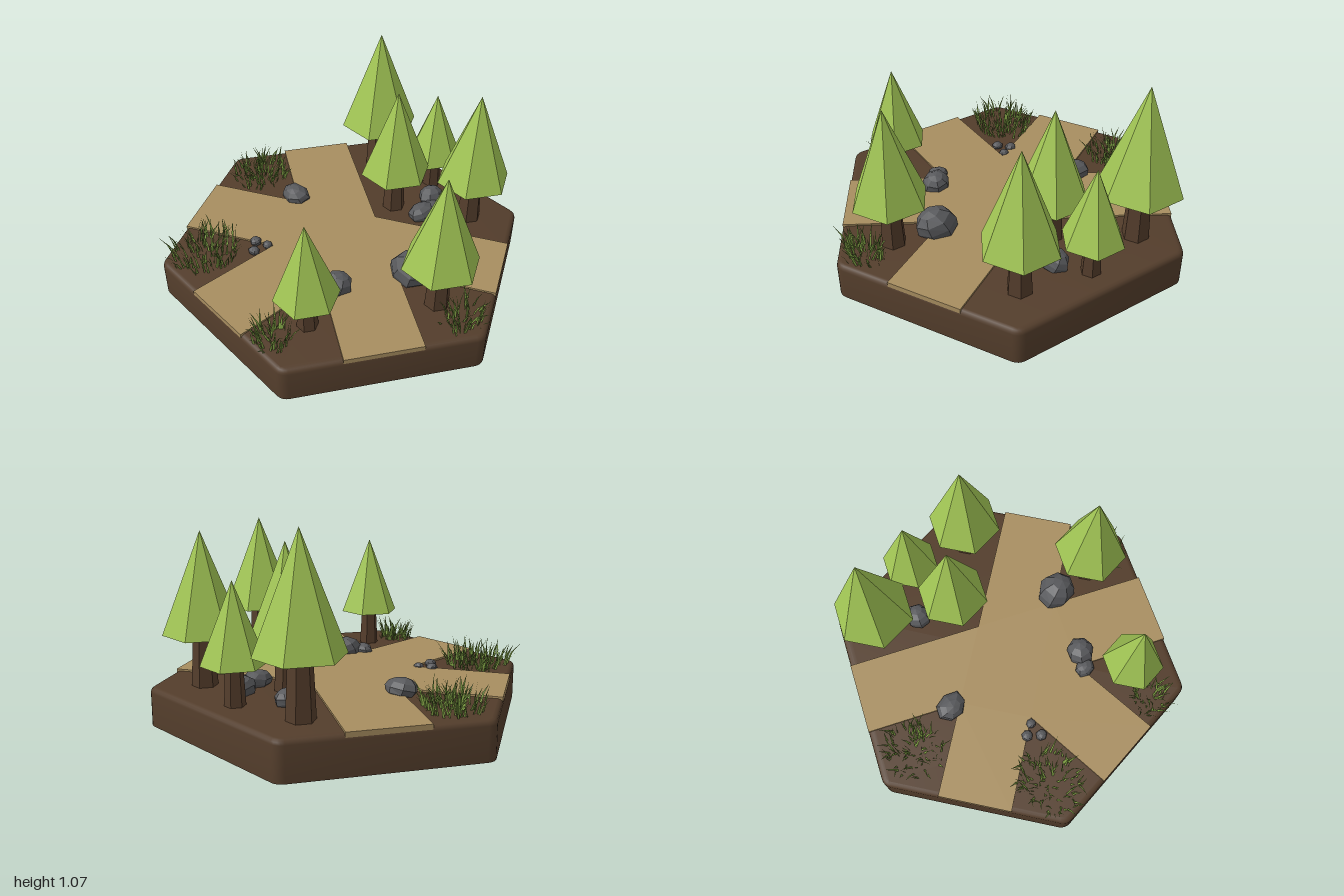
import * as THREE from 'three';
import { toCreasedNormals } from 'three/addons/utils/BufferGeometryUtils.js';

const mat = (name, color, opts = {}) => {
  const m = new THREE.MeshStandardMaterial({ color, ...opts });
  m.name = name;
  return m;
};
const soil = mat('soil', 0x533d2b);
const sand = mat('sand', 0xa88e60);
const bark = mat('bark', 0x553e2c, { flatShading: true });
const leaf = mat('leaf', 0xa2c655, { flatShading: true });
const stone = mat('stone', 0x58595c, { flatShading: true });
const grass = mat('grass', 0x7c9c42, { side: THREE.DoubleSide });

const CENTER_Z = -0.024;
const TOP = 0.2;

function seeded(seed) {
  return () => {
    seed = (seed * 16807) % 2147483647;
    return seed / 2147483647;
  };
}

function add(parent, name, geometry, material) {
  const mesh = new THREE.Mesh(geometry, material);
  mesh.name = name;
  parent.add(mesh);
  return mesh;
}

// Hexagonal tile: softened corners and top rim, sharp flat underside
function tileGeometry() {
  const bevel = 0.025, r = 1.005 - bevel / Math.cos(Math.PI / 6), soft = 0.025;
  const corner = i => new THREE.Vector2(Math.cos(i * Math.PI / 3), Math.sin(i * Math.PI / 3)).multiplyScalar(r);
  const shape = new THREE.Shape();
  for (let i = 0; i < 6; i++) {
    const c = corner(i);
    const a = c.clone().lerp(corner(i + 5), soft), b = c.clone().lerp(corner(i + 1), soft);
    if (i === 0) shape.moveTo(a.x, a.y); else shape.lineTo(a.x, a.y);
    shape.quadraticCurveTo(c.x, c.y, b.x, b.y);
  }
  shape.closePath();
  const geo = new THREE.ExtrudeGeometry(shape, {
    depth: TOP - bevel, bevelEnabled: true, bevelSize: bevel, bevelThickness: bevel, bevelSegments: 3, curveSegments: 4,
  });
  geo.rotateX(-Math.PI / 2);
  const p = geo.attributes.position;
  for (let i = 0; i < p.count; i++) p.setY(i, Math.max(0, p.getY(i)));
  return toCreasedNormals(geo, 0.7);
}

// Five path arms meeting in the middle, each ending at a tile edge
function pathGeometry() {
  const pts = [];
  const polar = (deg, r) => new THREE.Vector2(r, 0).rotateAround(new THREE.Vector2(), deg * Math.PI / 180);
  const arms = [-90, -30, 30, 150, 210];
  arms.forEach((deg, i) => {
    const end = polar(deg, 0.869), side = polar(deg + 90, 0.2);
    pts.push(end.clone().sub(side), end.clone().add(side));
    const gap = ((arms[(i + 1) % 5] - deg) + 360) % 360;
    pts.push(polar(deg + gap / 2, 0.2 / Math.sin(gap * Math.PI / 360)));
  });
  const geo = new THREE.ExtrudeGeometry(new THREE.Shape(pts), { depth: 0.026, bevelEnabled: false });
  return geo.rotateX(-Math.PI / 2).translate(0, 0.184, 0);
}

// Six-sided tree with a tapered trunk
function makeTree([x, z, base, top, r]) {
  const tree = new THREE.Group();
  tree.name = 'tree';
  tree.position.set(x, 0, z);
  const trunkH = base + 0.02 - TOP + 0.02;
  const trunk = add(tree, 'trunk', new THREE.CylinderGeometry(r * 0.26, r * 0.335, trunkH, 6), bark);
  trunk.position.y = TOP - 0.02 + trunkH / 2;
  const crown = add(tree, 'crown', new THREE.ConeGeometry(r, top - base, 6), leaf);
  crown.position.y = (base + top) / 2;
  trunk.rotation.y = crown.rotation.y = Math.PI / 6;
  return tree;
}

// Faceted boulder, half sunk in the ground; h is its height above the tile
function makeRock([x, z, rx, rz, h], i) {
  const geo = new THREE.SphereGeometry(1, 7, 6);
  const p = geo.attributes.position;
  for (let k = 0; k < p.count; k++) {
    const a = p.getX(k), b = p.getY(k), c = p.getZ(k);
    const s = 1 + 0.08 * Math.sin(3 * a + 2 * c + i) * Math.cos(2 * b + c);
    p.setXYZ(k, a * s, b, c * s);
  }
  geo.rotateX(0.35).rotateY(i * 1.3);
  const rock = new THREE.Mesh(geo, stone);
  rock.name = 'rock';
  rock.scale.set(rx, h * 0.7, rz);
  rock.position.set(x, TOP + h * 0.3, z);
  return rock;
}

// Tuft of curved, pointed blades leaning outward
function makeGrass([x, z, rx, rz, count], i) {
  const rnd = seeded(97 + i * 531);
  const pos = [], index = [];
  for (let n = 0; n < count; n++) {
    const a = rnd() * Math.PI * 2, d = Math.sqrt(rnd());
    const bx = Math.cos(a) * d * rx, bz = Math.sin(a) * d * rz;
    const dir = a + (rnd() - 0.5) * 2.4, lean = 0.015 + rnd() * 0.06, h = 0.06 + rnd() * 0.065;
    const turn = rnd() * Math.PI, wx = Math.cos(turn) * 0.006, wz = Math.sin(turn) * 0.006;
    const lx = Math.cos(dir) * lean, lz = Math.sin(dir) * lean, v = pos.length / 3;
    // root pair, middle pair, tip
    for (const [t, w] of [[0, 1], [0.6, 0.75]]) {
      for (const s of [-1, 1]) pos.push(bx + lx * t * t + s * w * wx, h * t - 0.005, bz + lz * t * t + s * w * wz);
    }
    pos.push(bx + lx, h, bz + lz);
    index.push(v, v + 1, v + 3, v, v + 3, v + 2, v + 2, v + 3, v + 4);
  }
  const geo = new THREE.BufferGeometry();
  geo.setAttribute('position', new THREE.Float32BufferAttribute(pos, 3));
  geo.setIndex(index);
  geo.computeVertexNormals();
  const tuft = new THREE.Mesh(geo, grass);
  tuft.name = 'grassTuft';
  tuft.position.set(x, TOP, z);
  return tuft;
}

export function createModel() {
  const model = new THREE.Group();
  model.name = 'forestCrossroadsTile';
  add(model, 'tile', tileGeometry(), soil).position.z = CENTER_Z;
  add(model, 'path', pathGeometry(), sand).position.z = CENTER_Z;

  // x, z, crown base, crown top, crown radius
  const trees = [
    [-0.385, -0.65, 0.5, 1.07, 0.22],
    [-0.02, -0.743, 0.4, 0.8, 0.16],
    [0.342, -0.662, 0.47, 0.99, 0.203],
    [-0.015, -0.418, 0.45, 0.95, 0.195],
    [0.685, -0.022, 0.47, 0.98, 0.2],
    [0.36, 0.556, 0.4, 0.83, 0.166],
  ];
  trees.forEach(t => model.add(makeTree(t)));

  // x, z, x radius, z radius, height
  const rocks = [
    [-0.45, -0.045, 0.09, 0.075, 0.08],
    [0.455, -0.06, 0.115, 0.1, 0.14],
    [0.27, 0.28, 0.08, 0.08, 0.095],
    [0.215, 0.36, 0.06, 0.05, 0.055],
    [-0.29, 0.375, 0.033, 0.03, 0.035],
    [-0.225, 0.345, 0.027, 0.027, 0.03],
    [-0.235, 0.43, 0.033, 0.03, 0.035],
    [-0.185, -0.55, 0.07, 0.075, 0.08],
    [0.1, -0.61, 0.07, 0.08, 0.09],
    [0.16, -0.47, 0.065, 0.09, 0.075],
    [0.17, -0.54, 0.06, 0.06, 0.06],
  ];
  rocks.forEach((r, i) => model.add(makeRock(r, i)));

  // x, z, x radius, z radius, blade count
  const tufts = [
    [-0.76, -0.03, 0.15, 0.16, 110],
    [-0.4, 0.63, 0.16, 0.18, 120],
    [0.32, 0.745, 0.1, 0.09, 60],
    [0.85, -0.03, 0.1, 0.12, 65],
  ];
  tufts.forEach((t, i) => model.add(makeGrass(t, i)));
  return model;
}
